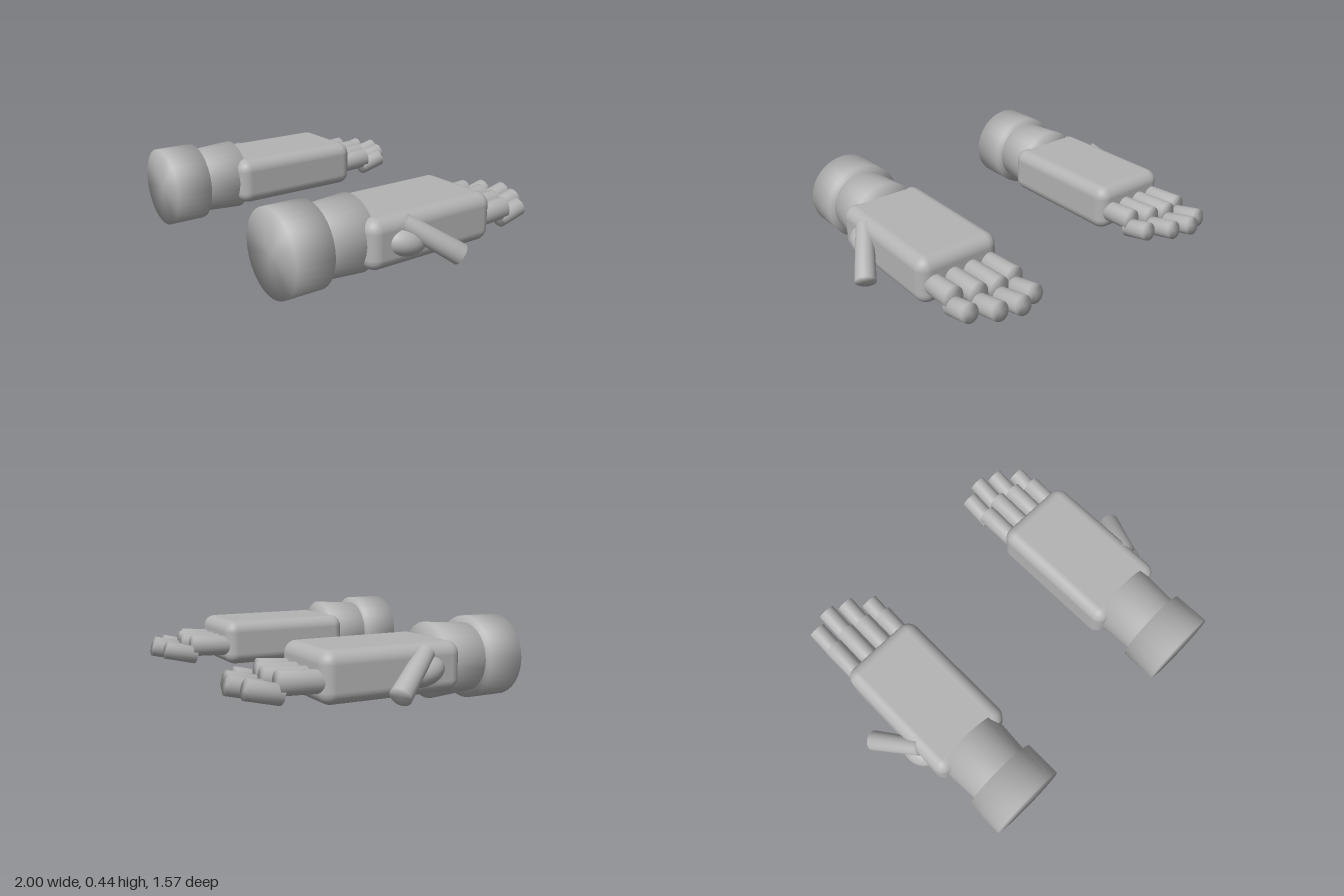
import * as THREE from 'three';
import { mergeVertices } from 'three/addons/utils/BufferGeometryUtils.js';
import { RoundedBoxGeometry } from 'three/addons/geometries/RoundedBoxGeometry.js';

const grey = new THREE.MeshStandardMaterial({ color: 0xb3b3b3 });
grey.name = 'plainGrey';

function part(name, geometry) {
  const mesh = new THREE.Mesh(geometry, grey);
  mesh.name = name;
  return mesh;
}

// Tapered rod between two points, with normals blended across its end caps
function rod(name, from, to, r0, r1, widthScale = 1) {
  const a = new THREE.Vector3(...from);
  const b = new THREE.Vector3(...to);
  const axis = b.clone().sub(a);
  let geo = new THREE.CylinderGeometry(r1, r0, axis.length(), 32);
  geo.deleteAttribute('normal');
  geo.deleteAttribute('uv');
  geo = mergeVertices(geo);
  geo.computeVertexNormals();
  const mesh = part(name, geo);
  mesh.quaternion.setFromUnitVectors(new THREE.Vector3(0, 1, 0), axis.normalize());
  mesh.position.copy(a).add(b).multiplyScalar(0.5);
  mesh.scale.x = widthScale;
  return mesh;
}

// Finger layout: x offset, knuckle z, distal base z, tip z
const FINGERS = [
  [-0.165, -0.575, -0.555, -0.728],
  [-0.057, -0.6, -0.58, -0.773],
  [0.051, -0.58, -0.56, -0.738],
  [0.159, -0.532, -0.51, -0.656],
];

function createHand(side) {
  const hand = new THREE.Group();
  hand.name = side > 0 ? 'leftHand' : 'rightHand';

  // Forearm cuff and flared wrist
  hand.add(rod('cuff', [0, 0.2175, 0.786], [0, 0.2175, 0.583], 0.2175, 0.2175));
  hand.add(rod('wrist', [0, 0.218, 0.6], [0, 0.218, 0.34], 0.18, 0.198));

  // Palm
  const palm = part('palm', new RoundedBoxGeometry(0.47, 0.256, 0.774, 6, 0.065));
  palm.position.set(0, 0.217, 0.009);
  hand.add(palm);

  // Four fingers, two segments each
  for (const [x, knuckle, base, tip] of FINGERS) {
    const finger = new THREE.Group();
    finger.name = 'finger';
    finger.add(rod('fingerBase', [x, 0.2, -0.33], [x, 0.213, knuckle], 0.056, 0.06, 0.9));
    finger.add(rod('fingertip', [x, 0.158, base], [x, 0.158 + (base - tip) * 0.24, tip], 0.05, 0.05, 0.98));
    hand.add(finger);
  }

  // Thumb mound and thumb on the outer side
  const mound = part('thumbMound', new THREE.SphereGeometry(1, 32, 20));
  mound.scale.set(0.1, 0.08, 0.125);
  mound.position.set(side * 0.19, 0.208, 0.175);
  mound.rotation.set(-0.2, 0, 0);
  hand.add(mound);
  hand.add(rod('thumb', [side * 0.208, 0.3, 0.19], [side * 0.352, 0.133, -0.046], 0.046, 0.055));

  hand.position.x = side * 0.597;
  return hand;
}

export function createModel() {
  const model = new THREE.Group();
  model.name = 'pairOfHands';
  for (const side of [-1, 1]) model.add(createHand(side));
  return model;
}
